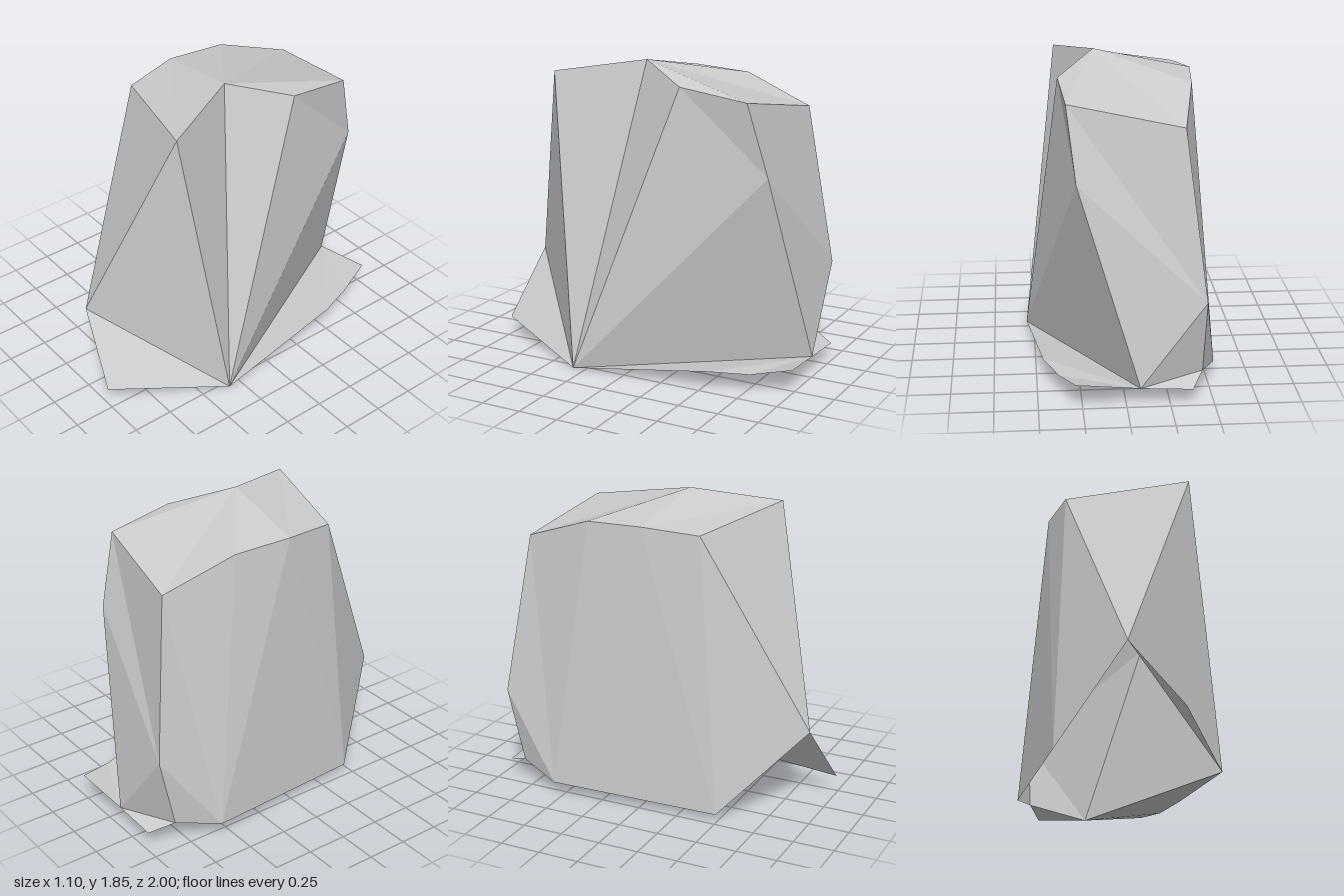
import * as THREE from 'three';

// Corner points of the faceted shell
const P = {
  // upper rim and crown
  E: [-0.38, 1.71, 0.34], B: [0.345, 1.775, 0.55], G: [0.125, 1.85, 0.045], H: [-0.45, 1.74, 0],
  J: [-0.42, 1.725, -0.36], I: [0.35, 1.75, -0.29], K: [0.32, 1.69, -0.7], L: [-0.34, 1.57, -0.8],
  // back wall
  S: [0.27, 1.26, -0.815], R: [-0.46, 0.59, -0.93],
  // open lower rim
  A: [0.545, 0, 0.33], C: [-0.09, 0.51, 0.93], F: [-0.44, 0.03, 0.48],
  M: [-0.55, 0.075, -0.56], W: [-0.45, 0.138, -0.825], Q: [-0.08, 0.1, -0.97],
  // tips of the loose flaps
  D: [0.215, 0.115, 1], N: [0.46, 0.11, -0.54], U: [0.375, 0.105, -0.77],
  O: [0.29, 0.145, -1], T: [-0.38, 0.085, -0.97],
};

// Triangles per part, corners counter-clockwise from outside
const parts = {
  crown: 'HEB HBG HGJ JGL LGK KGI',
  frontWall: 'ECB CAB EFC',
  leftWall: 'BAG GAI IAS ISK AQS',
  backWall: 'KRL KSR SQR QWR',
  rightWall: 'LRM RWM LMJ JMH HMF HFE',
  frontFlap: 'CDA',
  sideFlap: 'ANQ NUQ UOQ',
  backFlap: 'QTW',
};

export function createModel() {
  const model = new THREE.Group();
  model.name = 'facetedRock';
  const material = new THREE.MeshStandardMaterial({
    color: 0xcccccc, flatShading: true, side: THREE.DoubleSide,
  });
  for (const [name, faces] of Object.entries(parts)) {
    const corners = [...faces.replaceAll(' ', '')].flatMap((c) => P[c]);
    const geometry = new THREE.BufferGeometry();
    geometry.setAttribute('position', new THREE.Float32BufferAttribute(corners, 3));
    geometry.computeVertexNormals();
    const mesh = new THREE.Mesh(geometry, material);
    mesh.name = name;
    model.add(mesh);
  }
  return model;
}
